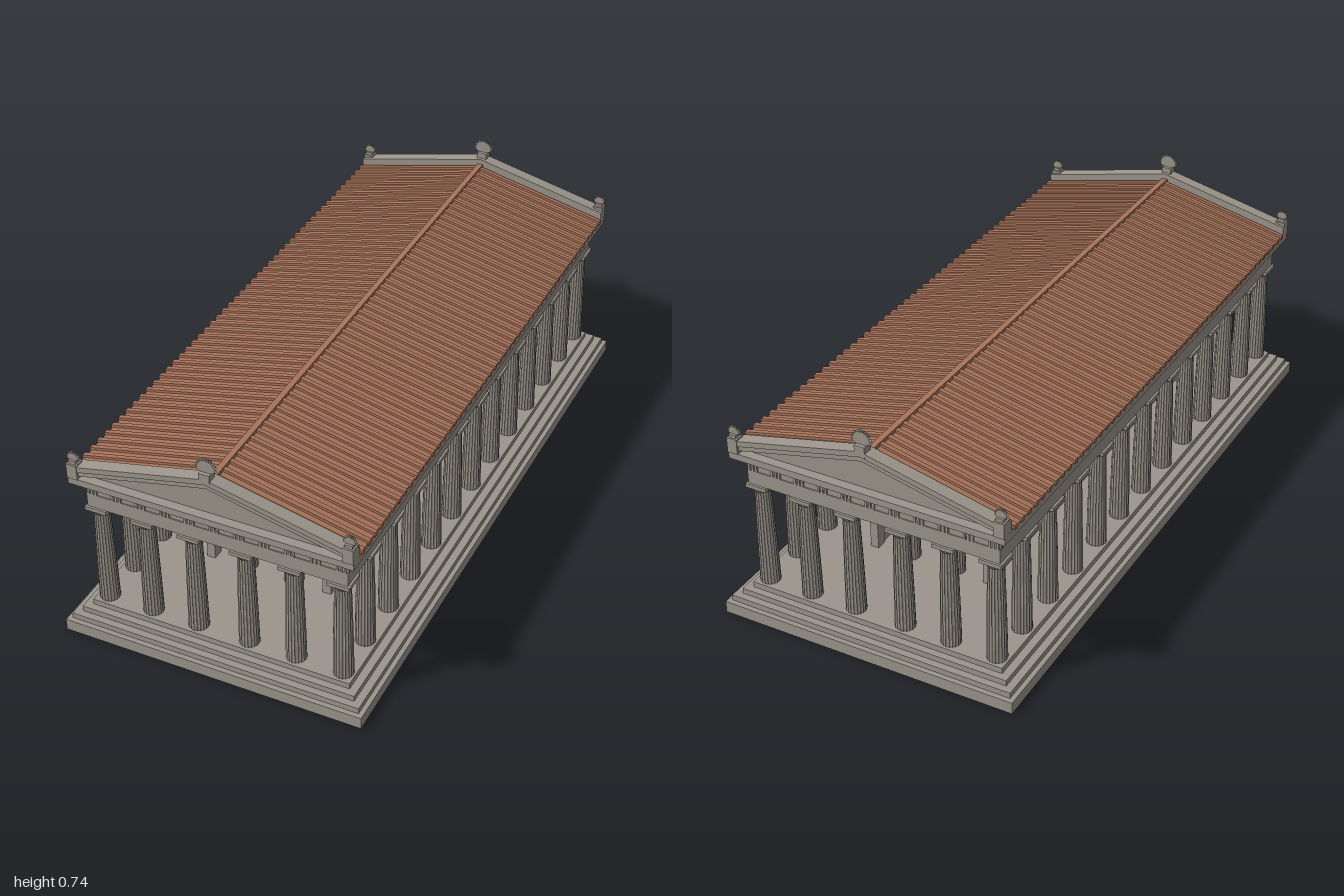
import * as THREE from 'three';

const stone = new THREE.MeshStandardMaterial({ color: 0x9c968c, side: THREE.DoubleSide });
stone.name = 'stone';
const terracotta = new THREE.MeshStandardMaterial({ color: 0xa8735a, side: THREE.DoubleSide });
terracotta.name = 'terracotta';

const SLOPE = 0.23;

function add(parent, name, geo, mat = stone, x = 0, y = 0, z = 0) {
  const mesh = new THREE.Mesh(geo, mat);
  mesh.name = name;
  mesh.position.set(x, y, z);
  parent.add(mesh);
  return mesh;
}

// Box given by its lower and upper corner
function block(parent, name, x0, x1, y0, y1, z0, z1, mat = stone) {
  return add(parent, name, new THREE.BoxGeometry(x1 - x0, y1 - y0, z1 - z0), mat,
    (x0 + x1) / 2, (y0 + y1) / 2, (z0 + z1) / 2);
}

function flat(geo) {
  const g = geo.index ? geo.toNonIndexed() : geo;
  g.computeVertexNormals();
  return g;
}

// Open-bottomed stack of rectangles [halfWidth, halfDepth, y], capped on top
function steppedShell(loops) {
  const pos = [], idx = [];
  loops.forEach(([w, d, y]) => pos.push(-w, y, -d, -w, y, d, w, y, d, w, y, -d));
  for (let k = 0; k < loops.length - 1; k++) {
    for (let i = 0; i < 4; i++) {
      const a = k * 4 + i, b = k * 4 + (i + 1) % 4;
      idx.push(a, b, b + 4, a, b + 4, a + 4);
    }
  }
  const t = (loops.length - 1) * 4;
  idx.push(t, t + 1, t + 2, t, t + 2, t + 3);
  const g = new THREE.BufferGeometry();
  g.setAttribute('position', new THREE.Float32BufferAttribute(pos, 3));
  g.setIndex(idx);
  return flat(g);
}

function extrude(shape, depth) {
  return new THREE.ExtrudeGeometry(shape, { depth, bevelEnabled: false });
}

// Gable-shaped band centred on z = 0
function chevron(top, bottom, half, depth) {
  const drop = half * SLOPE;
  const s = new THREE.Shape([[0, top], [-half, top - drop], [-half, bottom - drop],
    [0, bottom], [half, bottom - drop], [half, top - drop]].map(p => new THREE.Vector2(...p)));
  return extrude(s, depth).translate(0, 0, -depth / 2);
}

// Horizontal rectangular frame
function frame(parent, name, w, d, thick, y0, y1) {
  for (const s of [-1, 1]) {
    const x = s * (w - thick / 2), z = s * (d - thick / 2), h = thick / 2;
    block(parent, name + 'Side', x - h, x + h, y0, y1, -d, d);
    block(parent, name + 'End', thick - w, w - thick, y0, y1, z - h, z + h);
  }
}

// Fluted shaft: every third meridian is a sharp ridge
function shaftGeometry() {
  const pts = [[0.03, 0.091], [0.0285, 0.2], [0.0262, 0.31], [0.0235, 0.407]]
    .map(p => new THREE.Vector2(...p));
  const g = new THREE.LatheGeometry(pts, 60);
  const p = g.attributes.position;
  for (let i = 0; i < p.count; i++) {
    const k = Math.floor(i / pts.length) % 3 === 0 ? 1 : 0.92;
    p.setX(i, p.getX(i) * k);
    p.setZ(i, p.getZ(i) * k);
  }
  return flat(g);
}
const shaft = shaftGeometry();
const echinus = new THREE.LatheGeometry([[0.0225, 0.402], [0.025, 0.406], [0.03, 0.412], [0.0325, 0.419]]
  .map(p => new THREE.Vector2(...p)), 32);
const abacus = new THREE.BoxGeometry(0.067, 0.012, 0.067);

function column(parent, x, z) {
  const c = new THREE.Group();
  c.name = 'column';
  add(c, 'shaft', shaft);
  add(c, 'echinus', echinus);
  add(c, 'abacus', abacus, stone, 0, 0.424, 0);
  c.position.set(x, 0, z);
  parent.add(c);
}

// Spiky fan ornament
function palmette(r) {
  const s = new THREE.Shape();
  const n = 13;
  s.moveTo(-r * 0.35, -r * 0.5);
  s.lineTo(r * 0.35, -r * 0.5);
  for (let i = 0; i <= 2 * n; i++) {
    const a = -0.3 + (Math.PI + 0.6) * i / (2 * n);
    const q = i % 2 ? r : r * 0.8;
    s.lineTo(Math.cos(a) * q, Math.sin(a) * q);
  }
  return extrude(s, 0.008).translate(0, 0, -0.004);
}

// Triglyph: three upright bars on a thin backing, facing +z
function triglyph(parent, x, z, turn) {
  const t = new THREE.Group();
  t.name = 'triglyph';
  add(t, 'backing', new THREE.BoxGeometry(0.031, 0.047, 0.002), stone, 0, 0.4985, 0.001);
  for (const k of [-1, 0, 1]) {
    add(t, 'bar', new THREE.BoxGeometry(0.007, 0.045, 0.005), stone, k * 0.0115, 0.4975, 0.0025);
  }
  t.position.set(x, 0, z);
  t.rotation.y = turn;
  parent.add(t);
}

export function createModel() {
  const temple = new THREE.Group();
  temple.name = 'temple';

  // Stepped platform
  const sizes = [[0.466, 1, 0.037], [0.452, 0.985, 0.055], [0.429, 0.964, 0.073], [0.405, 0.943, 0.091]];
  const loops = [];
  sizes.forEach(([w, d, y], i) => loops.push([w, d, i ? sizes[i - 1][2] : 0], [w, d, y]));
  add(temple, 'platform', steppedShell(loops));

  // Outer colonnade
  const zs = [0.906];
  for (let i = 5; i >= -5; i--) zs.push(i * 0.153);
  zs.push(-0.906);
  for (const z of zs) for (const x of [-0.37, 0.37]) column(temple, x, z);
  for (const z of [-0.906, 0.906]) for (const x of [-0.226, -0.08, 0.08, 0.226]) column(temple, x, z);

  // Inner hall with side walls, end piers and porches
  const hall = new THREE.Group();
  hall.name = 'hall';
  temple.add(hall);
  for (const s of [-1, 1]) {
    const x = s * 0.188;
    block(hall, 'sideWall', x - 0.008, x + 0.008, 0.091, 0.522, -0.63, 0.63);
    for (const z of [-0.62, 0.62]) {
      block(hall, 'wallPier', x - 0.013, x + 0.013, 0.091, 0.43, z - 0.018, z + 0.018);
      column(hall, s * 0.075, z);
    }
    block(hall, 'porchBeam', -0.18, 0.18, 0.43, 0.522, s * 0.62 - 0.018, s * 0.62 + 0.018);
    block(hall, 'doorWall', s > 0 ? 0.053 : -0.18, s > 0 ? 0.18 : -0.053, 0.091, 0.522, 0.49, 0.51);
  }
  block(hall, 'wallOverDoor', -0.053, 0.053, 0.38, 0.522, 0.49, 0.51);
  block(hall, 'doorLintel', -0.062, 0.062, 0.382, 0.403, 0.505, 0.52);
  block(hall, 'backWall', -0.18, 0.18, 0.091, 0.522, -0.51, -0.49);

  // Beam, frieze and cornice
  frame(temple, 'architrave', 0.397, 0.933, 0.05, 0.43, 0.475);
  frame(temple, 'frieze', 0.394, 0.93, 0.045, 0.475, 0.522);
  block(temple, 'cornice', -0.43, 0.43, 0.522, 0.543, -0.966, 0.966);
  for (const s of [-1, 1]) {
    for (let i = -5; i <= 5; i++) triglyph(temple, i * 0.0757, s * 0.93, s > 0 ? 0 : Math.PI);
    for (let i = -12; i <= 12; i++) triglyph(temple, s * 0.394, i * 0.0762, s * Math.PI / 2);
  }

  // Gables with fan ornaments, front and back
  const gable = new THREE.Shape([[-0.43, 0.543], [0.43, 0.543], [0, 0.65]].map(p => new THREE.Vector2(...p)));
  const gableGeo = extrude(gable, 0.016).translate(0, 0, -0.008);
  const upperBand = chevron(0.677, 0.66, 0.43, 0.04);
  const lowerBand = chevron(0.66, 0.643, 0.43, 0.03);
  const bigFan = palmette(0.031), smallFan = palmette(0.019);
  for (const s of [-1, 1]) {
    add(temple, 'gableWall', gableGeo, stone, 0, 0, s * 0.93);
    add(temple, 'upperRakingCornice', upperBand, stone, 0, 0, s * 0.947);
    add(temple, 'lowerRakingCornice', lowerBand, stone, 0, 0, s * 0.946);
    const z = s * 0.953;
    block(temple, 'peakPedestal', -0.016, 0.016, 0.66, 0.694, z - 0.015, z + 0.015);
    add(temple, 'peakFan', bigFan, stone, 0, 0.706, z);
    for (const x of [-0.414, 0.414]) {
      block(temple, 'cornerPedestal', x - 0.016, x + 0.016, 0.543, 0.59, z - 0.016, z + 0.016);
      block(temple, 'cornerPost', x - 0.011, x + 0.011, 0.59, 0.6, z - 0.011, z + 0.011);
      add(temple, 'cornerFan', smallFan, stone, x, 0.606, z);
    }
  }

  // Tiled roof: sheet, raised tile rows and ridge
  add(temple, 'roofSheet', chevron(0.649, 0.635, 0.43, 1.86), terracotta);
  const row = chevron(0.657, 0.643, 0.434, 0.014);
  for (let i = -24; i <= 24; i++) add(temple, 'tileRow', row, terracotta, 0, 0, i * 0.038);
  block(temple, 'ridge', -0.009, 0.009, 0.645, 0.659, -0.93, 0.93, terracotta);

  return temple;
}
